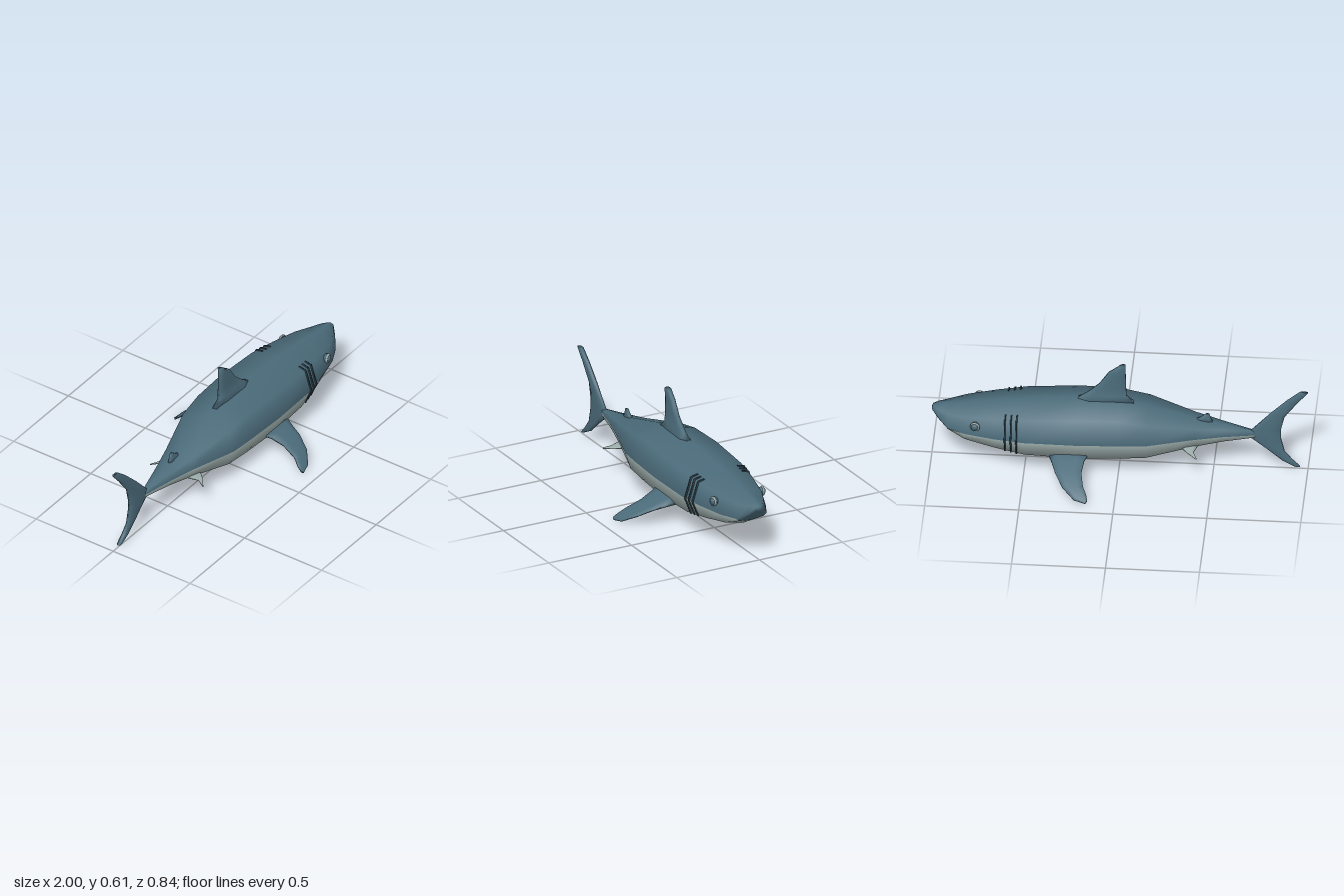
import * as THREE from 'three';

const material = (name, color) => {
  const m = new THREE.MeshStandardMaterial({ color });
  m.name = name;
  return m;
};

// Closed loft through rings of points; pick(row, column) chooses the material group.
function loft(rows, pick = () => 0) {
  const n = rows[0].length;
  const p = rows.flat();
  const tris = [[], []];
  for (let i = 0; i < rows.length - 1; i++) {
    for (let j = 0; j < n; j++) {
      const a = i * n + j, b = i * n + ((j + 1) % n);
      tris[pick(i, j)].push([a, b, a + n], [b, b + n, a + n]);
    }
  }
  const last = (rows.length - 1) * n;
  for (let j = 1; j < n - 1; j++) {
    tris[0].push([0, j + 1, j], [last, last + j, last + j + 1]);
  }
  // The signed volume tells whether the faces point outward
  let volume = 0;
  const v = p.map((q) => new THREE.Vector3(...q));
  for (const [a, b, c] of tris.flat()) volume += v[a].dot(v[b].clone().cross(v[c]));
  const index = tris.map((list) => list.flatMap(([a, b, c]) => (volume < 0 ? [a, c, b] : [a, b, c])));
  const g = new THREE.BufferGeometry();
  g.setAttribute('position', new THREE.Float32BufferAttribute(p.flat(), 3));
  g.setIndex(index.flat());
  g.addGroup(0, index[0].length, 0);
  if (index[1].length) g.addGroup(index[0].length, index[1].length, 1);
  g.computeVertexNormals();
  return g;
}

// Fin from [lead, trail, half thickness] rows, thickened along a direction.
function fin(rows, dir) {
  const profile = [[0, 0.4], [0.2, 1], [0.75, 1], [1, 0.4], [1, -0.4], [0.75, -1], [0.2, -1], [0, -0.4]];
  return loft(rows.map(([lead, trail, t]) =>
    profile.map(([u, w]) => lead.map((c, k) => c + (trail[k] - c) * u + dir[k] * t * w))));
}

// Body stations: x, top, side height, bottom, half width
const stations = [
  [-0.73, 0.235, 0.213, 0.192, 0.01],
  [-0.55, 0.272, 0.222, 0.17, 0.055],
  [-0.4, 0.302, 0.227, 0.143, 0.1],
  [-0.15, 0.372, 0.23, 0.085, 0.183],
  [0, 0.405, 0.23, 0.074, 0.195],
  [0.22, 0.405, 0.23, 0.065, 0.206],
  [0.5, 0.383, 0.228, 0.08, 0.2],
  [0.66, 0.364, 0.226, 0.114, 0.174],
  [0.82, 0.343, 0.226, 0.152, 0.136],
  [0.91, 0.332, 0.226, 0.203, 0.092],
  [0.965, 0.325, 0.268, 0.25, 0.05],
  [0.995, 0.315, 0.297, 0.282, 0.02],
  [1, 0.303, 0.297, 0.29, 0.008],
];

// Eight-sided cross-section, starting at the back ridge
function section([x, top, side, bottom, w]) {
  const up = side + (top - side) * 0.75, low = side + (bottom - side) * 0.67;
  return [[x, top, 0], [x, up, w * 0.81], [x, side, w], [x, low, w * 0.81],
    [x, bottom, 0], [x, low, -w * 0.81], [x, side, -w], [x, up, -w * 0.81]];
}

function stationAt(x) {
  const i = stations.findIndex((s) => s[0] > x) - 1;
  const a = stations[i], b = stations[i + 1], t = (x - a[0]) / (b[0] - a[0]);
  return a.map((c, k) => c + (b[k] - c) * t);
}

export function createModel() {
  const model = new THREE.Group();
  model.name = 'shark';
  const skin = material('slate blue skin', 0x4b6b7a);
  const pale = material('pale belly', 0x9bacaa);
  const dark = material('dark gill', 0x2b404a);
  const add = (name, geometry, mat) => {
    const m = new THREE.Mesh(geometry, mat);
    m.name = name;
    model.add(m);
    return m;
  };

  // Body with pale underside that stops short of the snout
  add('body', loft(stations.map(section), (i, j) =>
    (j >= 2 && j <= 5 && stations[i][0] < 0.9 ? 1 : 0)), [skin, pale]);

  // Upright fins, thickened across z
  const upright = (name, rows) => add(name,
    fin(rows.map(([lx, ly, tx, ty, t]) => [[lx, ly, 0], [tx, ty, 0], t]), [0, 0, 1]), skin);
  upright('dorsalFin', [
    [0.25, 0.385, -0.09, 0.37, 0.034],
    [0.18, 0.43, -0.035, 0.425, 0.018],
    [0.11, 0.495, -0.032, 0.48, 0.016],
    [0.06, 0.57, -0.03, 0.56, 0.016],
    [0.005, 0.612, -0.028, 0.62, 0.016],
  ]);
  upright('rearDorsalFin', [
    [-0.39, 0.29, -0.5, 0.265, 0.014],
    [-0.43, 0.308, -0.485, 0.3, 0.01],
    [-0.455, 0.33, -0.475, 0.33, 0.007],
  ]);
  upright('tailFin', [
    [-0.955, 0.495, -1, 0.495, 0.012],
    [-0.89, 0.44, -0.945, 0.43, 0.013],
    [-0.8, 0.35, -0.875, 0.335, 0.014],
    [-0.7, 0.24, -0.855, 0.25, 0.015],
    [-0.7, 0.19, -0.855, 0.195, 0.015],
    [-0.785, 0.122, -0.875, 0.11, 0.014],
    [-0.865, 0.053, -0.915, 0.06, 0.013],
    [-0.925, 0.023, -0.957, 0.018, 0.012],
  ]);

  for (const [side, s] of [['right', 1], ['left', -1]]) {
    // Swept pectoral fin
    add(side + 'PectoralFin', fin([
      [[0.37, 0.13, s * 0.15], [0.155, 0.145, s * 0.15], 0.022],
      [[0.345, 0.112, s * 0.21], [0.175, 0.13, s * 0.2], 0.017],
      [[0.325, 0.095, s * 0.27], [0.185, 0.103, s * 0.27], 0.01],
      [[0.28, 0.057, s * 0.35], [0.17, 0.067, s * 0.35], 0.009],
      [[0.215, 0.018, s * 0.405], [0.15, 0.038, s * 0.385], 0.008],
      [[0.155, 0.008, s * 0.42], [0.143, 0.02, s * 0.41], 0.006],
    ], [0, 0.88, s * 0.47]), skin);

    // Small pelvic fin
    add(side + 'PelvicFin', fin([
      [[-0.32, 0.17, s * 0.08], [-0.42, 0.172, s * 0.07], 0.008],
      [[-0.365, 0.165, s * 0.13], [-0.4, 0.167, s * 0.13], 0.006],
      [[-0.415, 0.155, s * 0.172], [-0.42, 0.156, s * 0.17], 0.003],
    ], [0, 1, 0]), pale);

    // Three raised gill slits wrapped round the flank
    for (const x of [0.538, 0.568, 0.6]) {
      const ring = section(stationAt(x));
      const upper = ring[0].map((c, k) => c + (ring[1][k] - c) * 0.75);
      const path = [upper, ring[1], ring[2], ring[3]];
      const rows = path.map(([, y, z]) => {
        const dy = (y - 0.23) * 0.035, dz = z * 0.035;
        return [[x - 0.004, y - dy, s * (z - dz)], [x - 0.004, y + dy, s * (z + dz)],
          [x + 0.004, y + dy, s * (z + dz)], [x + 0.004, y - dy, s * (z - dz)]];
      });
      add(side + 'Gill', loft(rows), dark);
    }

    // Eye with a pale rim
    const eye = add(side + 'Eye', new THREE.SphereGeometry(0.023, 16, 12), skin);
    eye.position.set(0.76, 0.284, s * 0.142);
    const rim = add(side + 'EyeRim', new THREE.TorusGeometry(0.021, 0.006, 8, 20), pale);
    rim.position.set(0.76, 0.284, s * 0.149);
    rim.rotation.y = s * 0.2;
  }
  return model;
}
